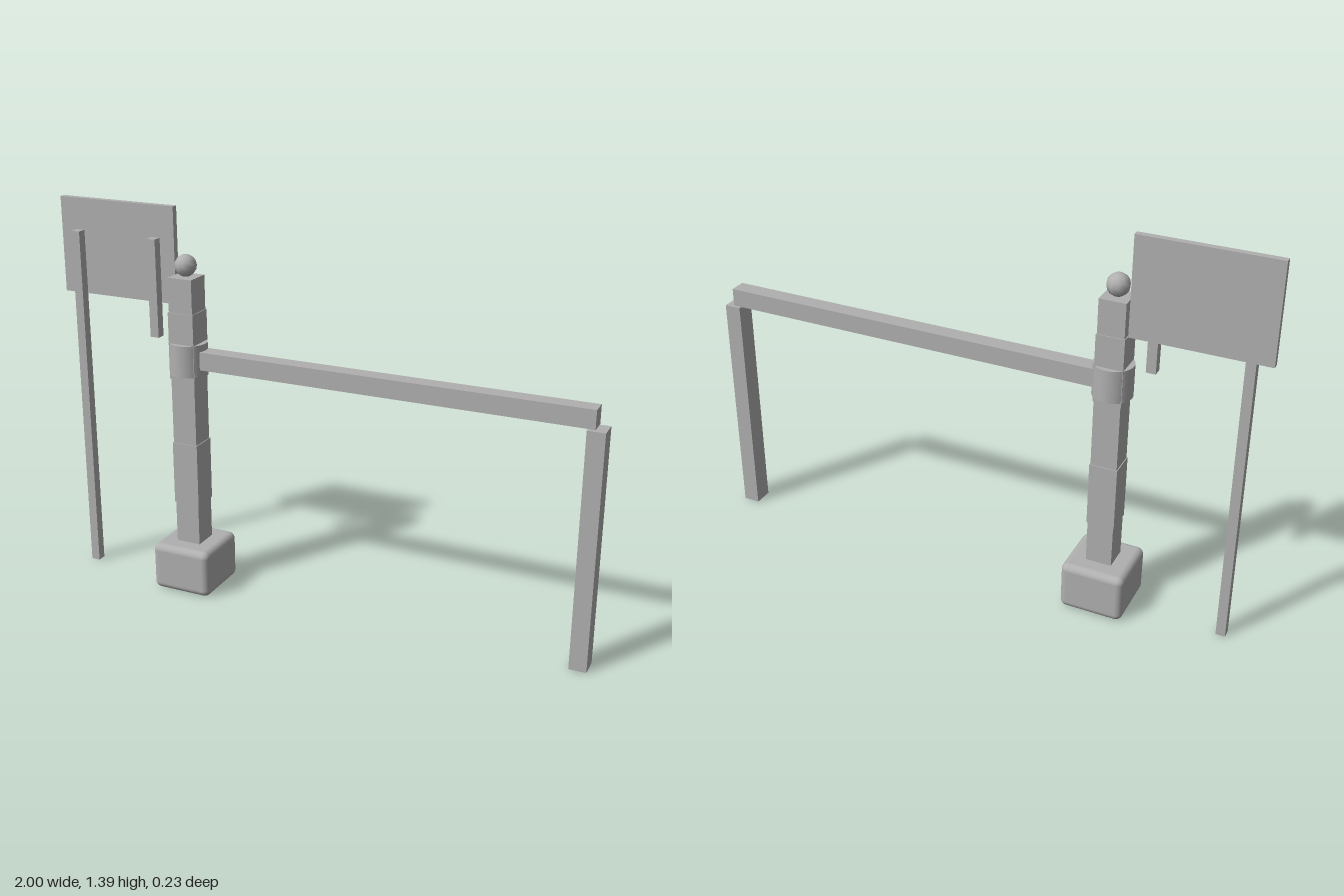
import * as THREE from 'three';
import { RoundedBoxGeometry } from 'three/addons/geometries/RoundedBoxGeometry.js';

export function createModel() {
  const group = new THREE.Group();
  const grey = new THREE.MeshStandardMaterial({ color: 0xb0b0b0 });
  grey.name = 'grey';
  const poleX = -0.483;

  const add = (name, geometry, x, y, z) => {
    const mesh = new THREE.Mesh(geometry, grey);
    mesh.name = name;
    mesh.position.set(x, y, z);
    group.add(mesh);
  };
  // Box given by its lower and upper corners
  const box = (name, [x0, y0, z0], [x1, y1, z1]) =>
    add(name, new THREE.BoxGeometry(x1 - x0, y1 - y0, z1 - z0),
      (x0 + x1) / 2, (y0 + y1) / 2, (z0 + z1) / 2);

  // Rounded foot block
  add('base', new RoundedBoxGeometry(0.227, 0.176, 0.23, 4, 0.025), poleX, 0.088, 0);

  // Square pole of stacked blocks, alternately narrow and wide
  const joints = [0.09, 0.33, 0.56, 0.8, 1.04, 1.162];
  for (let i = 0; i < joints.length - 1; i++) {
    const h = i % 2 ? 0.049 : 0.046;
    box('poleSegment' + (i + 1), [poleX - h, joints[i], -h], [poleX + h, joints[i + 1], h]);
  }

  // Round collar and ball finial
  add('collar', new THREE.CylinderGeometry(0.068, 0.068, 0.115, 32), poleX, 0.872, 0);
  add('finial', new THREE.SphereGeometry(0.039, 10, 8), poleX, 1.2, 0);

  // Barrier arm and its rest post
  box('arm', [-0.45, 0.84, -0.03], [0.966, 0.905, 0.03]);
  box('restPost', [0.94, 0, -0.035], [1, 0.836, 0.035]);

  // Sign panel with one long and one short post in front
  box('signPanel', [-1, 1.05, -0.046], [-0.54, 1.393, -0.023]);
  box('signLongPost', [-0.94, 0, -0.023], [-0.907, 1.28, 0.01]);
  box('signShortPost', [-0.63, 0.93, -0.023], [-0.597, 1.28, 0.01]);

  return group;
}
